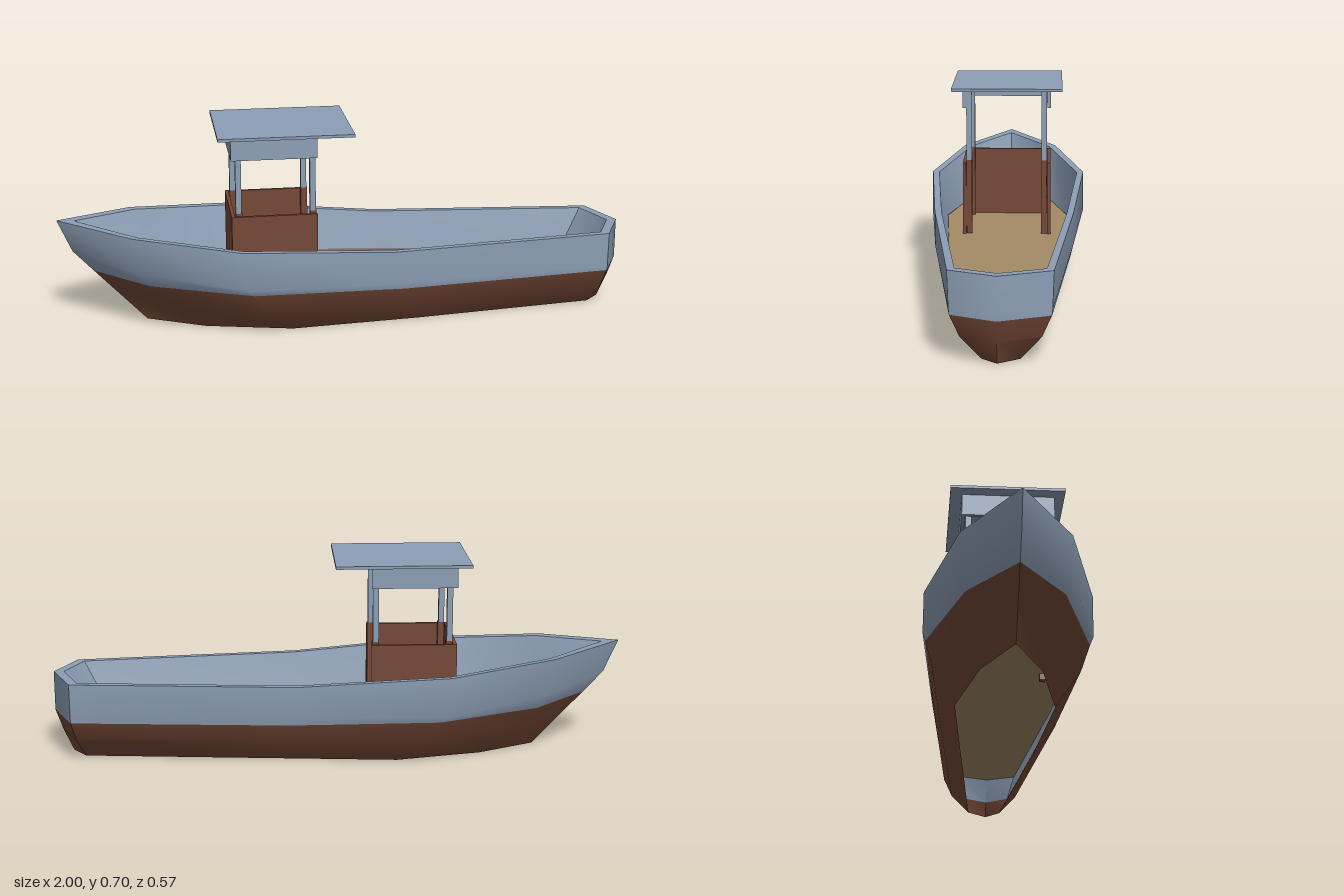
import * as THREE from 'three';
import { toCreasedNormals } from 'three/addons/utils/BufferGeometryUtils.js';

const mat = (name, color, side = THREE.FrontSide) => {
  const m = new THREE.MeshStandardMaterial({ color, side });
  m.name = name;
  return m;
};

// Closed loop from half-width points [x, y, z] running bow to stern tip.
// The stern corners sit a touch to the -z side.
function loop(half) {
  const skew = (x, z) => (x > 0.75 && z !== 0 ? -0.01 : 0);
  const port = half.map(([x, y, z]) => [x, y, z + skew(x, z)]);
  const starboard = half.slice(1, -1).reverse().map(([x, y, z]) => [x, y, -z + skew(x, z)]);
  return [...port, ...starboard];
}

// Skin a sequence of loops with quads.
function loft(name, loops, material, crease = 0.87) {
  const n = loops[0].length;
  const index = [];
  for (let r = 0; r < loops.length - 1; r++) {
    for (let i = 0; i < n; i++) {
      const j = (i + 1) % n;
      const a = r * n + i, b = (r + 1) * n + i, c = (r + 1) * n + j, d = r * n + j;
      index.push(a, b, c, a, c, d);
    }
  }
  const g = new THREE.BufferGeometry();
  g.setAttribute('position', new THREE.Float32BufferAttribute(loops.flat(2), 3));
  g.setIndex(index);
  const mesh = new THREE.Mesh(toCreasedNormals(g, crease), material);
  mesh.name = name;
  return mesh;
}

// Box given by its extents.
function block(name, [x0, x1], [y0, y1], [z0, z1], material) {
  const mesh = new THREE.Mesh(new THREE.BoxGeometry(x1 - x0, y1 - y0, z1 - z0), material);
  mesh.position.set((x0 + x1) / 2, (y0 + y1) / 2, (z0 + z1) / 2);
  mesh.name = name;
  return mesh;
}

export function createModel() {
  const blue = mat('greyBluePaint', 0x8c9eb5);
  const brown = mat('redBrownPaint', 0x754836);
  const tan = mat('deckTan', 0xa38a66, THREE.DoubleSide);

  // Outer hull rings: bow, shoulder, widest, midship, stern corner, stern tip
  const sheer = loop([[-1, 0.38, 0], [-0.745, 0.36, 0.178], [-0.38, 0.327, 0.282],
    [0.15, 0.29, 0.24], [0.93, 0.29, 0.162], [1, 0.29, 0]]);
  const bilge = loop([[-0.95, 0.265, 0], [-0.72, 0.23, 0.172], [-0.36, 0.19, 0.283],
    [0.17, 0.175, 0.238], [0.93, 0.17, 0.158], [1, 0.17, 0]]);
  const waterline = loop([[-0.88, 0.19, 0], [-0.69, 0.18, 0.158], [-0.34, 0.168, 0.273],
    [0.18, 0.152, 0.232], [0.93, 0.15, 0.156], [1, 0.15, 0]]);
  const chine = loop([[-0.79, 0.095, 0], [-0.62, 0.1, 0.137], [-0.29, 0.098, 0.248],
    [0.2, 0.09, 0.205], [0.915, 0.078, 0.126], [0.975, 0.078, 0]]);
  const keel = loop([[-0.7, 0, 0], [-0.5, 0, 0.1], [-0.2, 0, 0.168],
    [0.25, 0, 0.128], [0.89, 0, 0.06], [0.94, 0, 0]]);

  // Inner hull rings
  const rim = loop([[-0.94, 0.376, 0], [-0.73, 0.358, 0.155], [-0.375, 0.326, 0.258],
    [0.15, 0.29, 0.217], [0.905, 0.29, 0.14], [0.965, 0.29, 0]]);
  const deckHalf = [[-0.79, 0.19, 0], [-0.68, 0.18, 0.13], [-0.355, 0.163, 0.225],
    [0.16, 0.14, 0.19], [0.83, 0.13, 0.115], [0.87, 0.13, 0]];
  const deckEdge = loop(deckHalf);
  // Brown strip above the deck, growing towards the stern
  const strip = loop(deckHalf.map(([x, y, z]) => [x, y + (x > 0 ? 0.012 : 0.001), z * 1.006]));
  const innerLow = loop([[-0.745, 0.06, 0], [-0.57, 0.06, 0.115], [-0.27, 0.06, 0.2],
    [0.2, 0.055, 0.16], [0.86, 0.05, 0.09], [0.91, 0.05, 0]]);

  const hull = new THREE.Group();
  hull.name = 'hull';
  hull.add(
    loft('topsides', [sheer, bilge, waterline], blue),
    loft('lowerHull', [waterline, chine, keel], brown),
    loft('gunwale', [rim, sheer], blue),
    loft('bulwarkInside', [strip, rim], blue),
    loft('deckTrim', [deckEdge, strip], brown),
    loft('innerHull', [innerLow, deckEdge], blue),
    loft('innerKeel', [keel, innerLow], brown),
    loft('deck', [deckEdge.map(([x, y]) => [x, y, 0]), deckEdge], tan),
  );

  // Wheelhouse: U-shaped lower walls and upper band, open towards the stern
  const cabin = new THREE.Group();
  cabin.name = 'wheelhouse';
  const X = [-0.405, -0.11], Z = [-0.16, 0.156], t = 0.012;
  for (const [name, y, m] of [['lowerWall', [0.14, 0.413], brown], ['upperBand', [0.613, 0.69], blue]]) {
    cabin.add(
      block(name + 'Bow', [X[0], X[0] + t], y, Z, m),
      block(name + 'Left', X, y, [Z[1] - t, Z[1]], m),
      block(name + 'Right', X, y, [Z[0], Z[0] + t], m),
    );
  }
  // Corner posts: brown foot, blue top
  for (const x of [-0.38, -0.125]) {
    for (const z of [-0.136, 0.133]) {
      const px = [x - 0.01, x + 0.01], pz = [z - 0.01, z + 0.01];
      cabin.add(
        block('postFoot', [px[0], px[1] + 0.003], [0.13, 0.422], pz, brown),
        block('post', px, [0.422, 0.69], pz, blue),
      );
    }
  }
  cabin.add(block('roof', [-0.45, 0.015], [0.69, 0.7], [-0.2, 0.19], blue));

  const model = new THREE.Group();
  model.name = 'boat';
  model.add(hull, cabin);
  return model;
}
